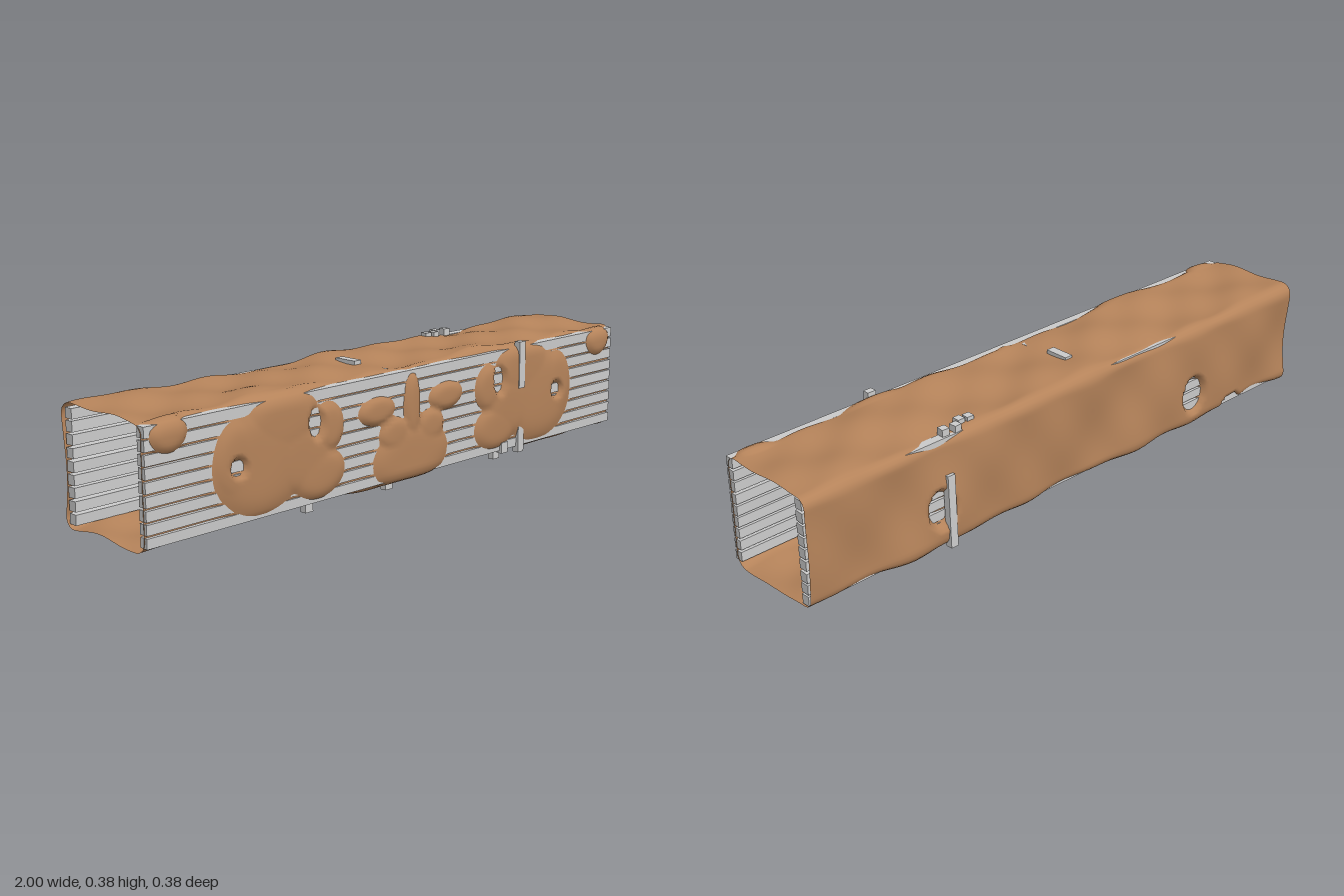
import * as THREE from 'three';

const grey = new THREE.MeshStandardMaterial({ color: 0xcccccc, flatShading: true });
const rock = new THREE.MeshStandardMaterial({ color: 0xb5835a, side: THREE.DoubleSide });

// Seeded jitter in -1..1
let seed = 7;
function jitter() {
  seed = (seed * 16807) % 2147483647;
  return (seed / 2147483647) * 2 - 1;
}

function box(parent, name, size, pos, rot = [0, 0, 0]) {
  const mesh = new THREE.Mesh(new THREE.BoxGeometry(...size), grey);
  mesh.name = name;
  mesh.position.set(...pos);
  mesh.rotation.set(...rot);
  parent.add(mesh);
}

// Ellipses [x, y, rx, ry] where the rock bulges over the front planks (mirrored in x)
const bulges = [
  [0.6, 0.19, 0.17, 0.14], [0.52, 0.29, 0.13, 0.09], [0.39, 0.12, 0.1, 0.07],
  [0.35, 0.25, 0.06, 0.07], [0.69, 0.21, 0.08, 0.11], [0.46, 0.18, 0.12, 0.1],
  [0, 0.1, 0.155, 0.1], [0.08, 0.18, 0.06, 0.05], [0.15, 0.26, 0.075, 0.042],
  [0, 0.25, 0.035, 0.1], [0.92, 0.33, 0.06, 0.05]
];
const frontHoles = [[0.69, 0.195, 0.025, 0.025], [0.4, 0.27, 0.025, 0.045]];
const backHoles = [[-0.53, 0.13, 0.055, 0.07], [0.54, 0.15, 0.05, 0.07], [-0.72, 0.04, 0.05, 0.03]];

const inside = (x, y, [cx, cy, rx, ry]) => 1 - ((x - cx) / rx) ** 2 - ((y - cy) / ry) ** 2;
const deepest = (x, y, list) => Math.max(...list.map((e) => inside(x, y, e)));

// Outward shift of the rock for a point with normal (ny, nz)
function rockShift(x, y, z, ny, nz) {
  const waves = 0.006 * Math.sin(7 * x + 15 * z + 9 * y)
    + 0.004 * Math.sin(15 * x - 21 * z + 13 * y + 1)
    + 0.003 * Math.sin(27 * x + 31 * z - 19 * y + 2);
  let shift = waves * (1 - 0.85 * Math.max(nz, 0)) + 0.003 * Math.abs(ny);
  if (nz > 0) {
    const ax = Math.abs(x);
    const d = Math.min(deepest(ax, y, bulges), -deepest(ax, y, frontHoles));
    shift += nz * (0.009 + 0.012 * Math.tanh(2 * d));
  } else {
    const d = Math.max(0, deepest(x, y, backHoles));
    shift += -nz * (0.004 - 0.03 * Math.min(1, d * 1.5));
  }
  return shift;
}

// Rounded square ring of [z, y, nz, ny], starting at the lower front
function rockRing() {
  const ring = [], half = 0.169, r = 0.032, flat = half - r, sideSteps = 26, cornerSteps = 5;
  for (let side = 0; side < 4; side++) {
    const a0 = side * Math.PI / 2, c = Math.cos(a0), s = Math.sin(a0);
    for (let k = 0; k < sideSteps; k++) {
      const t = -flat + 2 * flat * k / sideSteps;
      ring.push([c * half - s * t, 0.197 + s * half + c * t, c, s]);
    }
    for (let k = 0; k < cornerSteps; k++) {
      const a = a0 + Math.PI / 2 * k / cornerSteps, ca = Math.cos(a), sa = Math.sin(a);
      ring.push([flat * (c - s) + r * ca, 0.197 + flat * (s + c) + r * sa, ca, sa]);
    }
  }
  return ring;
}

// Open rock sleeve lofted along x
function rockSleeve() {
  const ring = rockRing(), n = ring.length, steps = 170, pos = [], index = [];
  for (let i = 0; i <= steps; i++) {
    const x = -1 + 2 * i / steps;
    ring.forEach(([z, y, nz, ny], j) => {
      const d = rockShift(x, y, z, ny, nz);
      pos.push(x, y + ny * d, z + nz * d);
      if (i < steps) {
        const a = i * n + j, b = i * n + (j + 1) % n;
        index.push(a, a + n, b, b, a + n, b + n);
      }
    });
  }
  const geo = new THREE.BufferGeometry();
  geo.setAttribute('position', new THREE.Float32BufferAttribute(pos, 3));
  geo.setIndex(index);
  geo.computeVertexNormals();
  const mesh = new THREE.Mesh(geo, rock);
  mesh.name = 'rockSleeve';
  return mesh;
}

// Inner support: two posts, a cross beam and two diagonal braces
function supportFrame(x) {
  const frame = new THREE.Group();
  frame.name = 'supportFrame';
  frame.position.x = x;
  box(frame, 'frontPost', [0.03, 0.355, 0.022], [0, 0.18, 0.137], [-0.015, 0, 0.02 * jitter()]);
  box(frame, 'backPost', [0.03, 0.33, 0.024], [0, 0.195, -0.118], [-0.025, 0, 0.02 * jitter()]);
  box(frame, 'crossBeam', [0.03, 0.03, 0.25], [0, 0.348, 0.005], [-0.02, 0, 0]);
  box(frame, 'frontBrace', [0.02, 0.1, 0.014], [0, 0.312, 0.102], [-0.67, 0, 0]);
  box(frame, 'backBrace', [0.02, 0.09, 0.014], [0, 0.322, -0.095], [0.67, 0, 0]);
  return frame;
}

export function createModel() {
  const model = new THREE.Group();
  model.name = 'tunnel';

  // Plank walls
  for (const [name, z] of [['frontPlank', 0.162], ['backPlank', -0.145]]) {
    for (let i = 0; i < 9; i++) {
      box(model, name, [1.996, 0.03 + 0.001 * jitter(), 0.028],
        [0, 0.051 + i * 0.0368, z], [0.04 * jitter(), 0, 0.001 * jitter()]);
    }
  }

  model.add(rockSleeve());
  for (const x of [-0.4, -0.07, 0.43]) model.add(supportFrame(x));

  // Outer props and loose ends poking through the rock
  box(model, 'frontProp', [0.028, 0.15, 0.022], [0.5, 0.305, 0.182]);
  box(model, 'frontPropFoot', [0.028, 0.09, 0.022], [0.51, 0.062, 0.174]);
  box(model, 'frontPropStub', [0.03, 0.035, 0.02], [0.43, 0.045, 0.174]);
  box(model, 'backProp', [0.026, 0.23, 0.022], [0.51, 0.137, -0.174], [0.03, 0, 0]);
  box(model, 'topBeamEnd', [0.028, 0.02, 0.08], [-0.075, 0.368, -0.015]);
  box(model, 'topStub', [0.025, 0.025, 0.03], [-0.04, 0.364, -0.13]);
  for (const [x, z] of [[0.4, -0.13], [0.43, -0.125], [0.46, -0.145], [0.5, -0.14]]) {
    box(model, 'topStub', [0.024, 0.03, 0.025], [x, 0.367, z], [0, 0.2 * jitter(), 0]);
  }
  return model;
}
